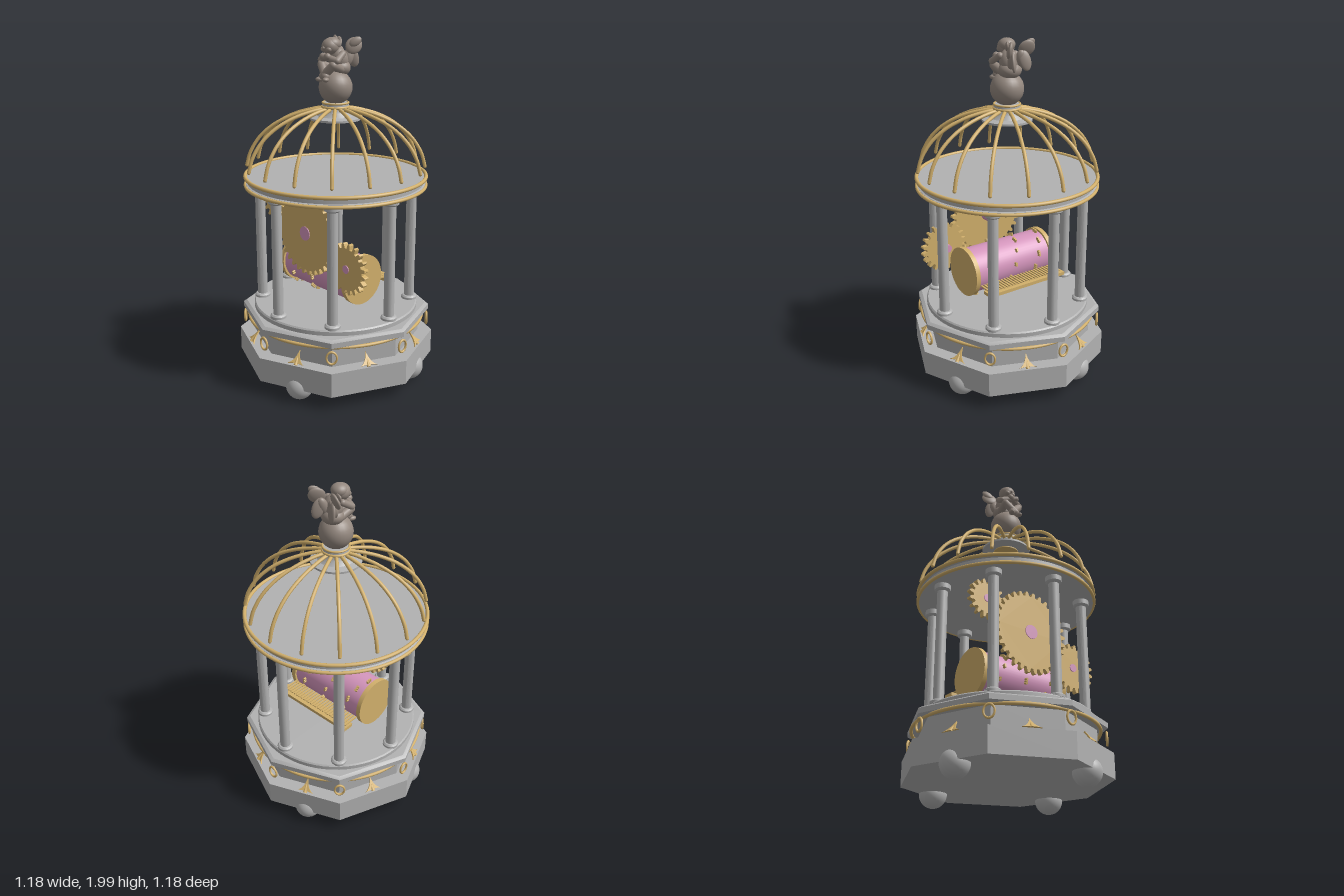
import * as THREE from 'three';
import { toCreasedNormals } from 'three/addons/utils/BufferGeometryUtils.js';

const mat = (name, color) => Object.assign(new THREE.MeshStandardMaterial({ color }), { name });
const V = (x, y, z) => new THREE.Vector3(x, y, z);

export function createModel() {
  const model = new THREE.Group();
  model.name = 'birdcageMusicBox';
  const gray = mat('paleGray', 0xb2b2b2);
  const gold = mat('gold', 0xd2b06c);
  const pink = mat('pink', 0xd596bd);
  const stone = mat('warmStone', 0x94887f);

  const add = (name, geo, material, pos = [0, 0, 0], parent = model) => {
    const m = new THREE.Mesh(geo, material);
    m.name = name;
    m.position.set(...pos);
    parent.add(m);
    return m;
  };
  // Solid of revolution with crisp edges; 8 sides gives octagons with corners on the axes
  const turned = (name, pts, material, sides = 64, parent = model) => {
    const g = new THREE.LatheGeometry(pts.map(p => new THREE.Vector2(...p)), sides);
    return add(name, toCreasedNormals(g, 0.5), material, [0, 0, 0], parent);
  };
  const hoop = (name, r, y, tube) => {
    const m = add(name, new THREE.TorusGeometry(r, tube, 10, 80), gold, [0, y, 0]);
    m.rotation.x = Math.PI / 2;
    return m;
  };
  // Group turned about the vertical axis; children sit along its +z
  const spoke = (name, angle) => {
    const g = new THREE.Group();
    g.name = name;
    g.rotation.y = angle;
    model.add(g);
    return g;
  };

  // Octagonal base tiers and round floor
  turned('basePlinth', [[0, 0.085], [0.59, 0.085], [0.59, 0.23], [0, 0.23]], gray, 8);
  turned('baseWall', [[0, 0.22], [0.505, 0.22], [0.505, 0.37], [0, 0.37]], gray, 8);
  turned('baseCornice', [[0, 0.362], [0.55, 0.362], [0.565, 0.37], [0.565, 0.4], [0.545, 0.412], [0, 0.412]], gray, 8);
  turned('floor', [[0, 0.4], [0.492, 0.4], [0.492, 0.435], [0.485, 0.443], [0, 0.443]], gray);
  hoop('baseHoop', 0.525, 0.36, 0.01);

  // Ball feet under four alternate faces
  for (let i = 0; i < 4; i++) {
    const g = spoke('foot', Math.PI / 8 + i * Math.PI / 2);
    add('footBall', new THREE.SphereGeometry(0.08, 32, 20), gray, [0, 0.083, 0.487], g);
  }

  // Ornament outline: flared triangular leaf
  const leaf = new THREE.Shape();
  leaf.moveTo(-0.052, 0);
  leaf.quadraticCurveTo(-0.012, 0.015, 0, 0.085);
  leaf.quadraticCurveTo(0.012, 0.015, 0.052, 0);
  leaf.quadraticCurveTo(0, 0.012, -0.052, 0);
  const leafGeo = new THREE.ExtrudeGeometry(leaf, { depth: 0.008, bevelEnabled: false });

  // Columns, oval rings and leaf ornaments around the base
  for (let i = 0; i < 8; i++) {
    const a = i * Math.PI / 4;
    const c = spoke('column', a);
    const shaft = turned('columnShaft', [
      [0, 0.44], [0.046, 0.44], [0.046, 0.455], [0.038, 0.463], [0.03, 0.465],
      [0.03, 1.115], [0.038, 1.118], [0.046, 1.126], [0.046, 1.155], [0, 1.155]], gray, 24, c);
    shaft.position.z = 0.446;

    const oval = add('ovalRing', new THREE.TorusGeometry(0.036, 0.007, 8, 28), gold, [0, 0.31, 0.556], c);
    oval.scale.x = 0.8;

    const o = spoke('leafOrnament', a + Math.PI / 8);
    const l = add('leaf', leafGeo, gold, [0, 0.232, 0.53], o);
    l.rotation.x = -0.7;
    const rib = add('leafRib', new THREE.ConeGeometry(0.012, 0.08, 8), gold, [0, 0.262, 0.51], o);
    rib.rotation.x = -0.7;
  }

  // Roof disc with its gold hoops
  turned('roofDisc', [[0, 1.155], [0.522, 1.155], [0.522, 1.172], [0.512, 1.176], [0.512, 1.2],
    [0.522, 1.204], [0.522, 1.212], [0, 1.212]], gray, 80);
  hoop('roofLowerHoop', 0.525, 1.162, 0.01);
  hoop('roofUpperHoop', 0.525, 1.213, 0.011);

  // Sixteen bent dome bars
  const bar = new THREE.CatmullRomCurve3([
    V(0, 1.262, 0.518), V(0, 1.34, 0.495), V(0, 1.43, 0.438), V(0, 1.505, 0.35),
    V(0, 1.558, 0.24), V(0, 1.588, 0.13), V(0, 1.598, 0.065)]);
  const barGeo = new THREE.TubeGeometry(bar, 32, 0.0105, 10);
  for (let i = 0; i < 16; i++) {
    const g = spoke('domeBar', i * Math.PI / 8);
    add('bar', barGeo, gold, [0, 0, 0], g);
    add('barEnd', new THREE.SphereGeometry(0.0105, 10, 8), gold, [0, 1.262, 0.518], g);
  }

  // Crown cap at the top of the dome
  turned('crownCap', [[0, 1.535], [0.145, 1.535], [0.145, 1.547], [0.105, 1.556], [0.085, 1.575],
    [0.076, 1.6], [0.076, 1.632], [0, 1.632]], gray, 48);
  add('crownUnderside', new THREE.CylinderGeometry(0.075, 0.075, 0.008, 40), gold, [0, 1.533, 0]);
  hoop('crownLowerHoop', 0.075, 1.607, 0.008);
  hoop('crownUpperHoop', 0.074, 1.63, 0.006);

  // Toothed gears with pink hubs
  const gear = (name, x, y, z, r, teeth, depth, hubR) => {
    const s = new THREE.Shape();
    const root = r - 0.028;
    for (let i = 0; i < teeth; i++) {
      [[0, root], [0.22, root], [0.36, r - 0.006], [0.44, r], [0.66, r], [0.74, r - 0.006], [0.88, root]].forEach(([f, q], k) => {
        const a = (i + f) / teeth * Math.PI * 2;
        s[i + k ? 'lineTo' : 'moveTo'](Math.cos(a) * q, Math.sin(a) * q);
      });
    }
    const g = new THREE.Group();
    g.name = name;
    g.position.set(x, y, z);
    model.add(g);
    add('gearWheel', new THREE.ExtrudeGeometry(s, { depth, bevelEnabled: false }), gold, [0, 0, 0], g);
    const back = 0.15 - z, front = depth + 0.004;
    const hub = add('gearHub', new THREE.CylinderGeometry(hubR, hubR, front - back, 24), pink, [0, 0, (front + back) / 2], g);
    hub.rotation.x = Math.PI / 2;
  };
  gear('largeGear', 0, 0.9, 0.213, 0.25, 32, 0.027, 0.042);
  gear('rightGear', 0.32, 0.764, 0.19, 0.15, 20, 0.03, 0.024);
  gear('leftGear', -0.29, 1.032, 0.193, 0.118, 16, 0.03, 0.024);

  // Pinned music drum lying along x
  const drum = new THREE.Group();
  drum.name = 'musicDrum';
  drum.position.set(0, 0.645, 0.047);
  model.add(drum);
  const roll = add('drumBarrel', new THREE.CylinderGeometry(0.135, 0.135, 0.52, 48), pink, [0, 0, 0], drum);
  roll.rotation.z = Math.PI / 2;
  for (const s of [-1, 1]) {
    const end = add('drumEnd', new THREE.CylinderGeometry(0.148, 0.148, 0.028, 48), gold, [s * 0.27, 0, 0], drum);
    end.rotation.z = Math.PI / 2;
  }
  const pinGeo = new THREE.CylinderGeometry(0.007, 0.007, 0.03, 8);
  for (let i = 0; i < 84; i++) {
    const a = i * 2.39996;
    const x = -0.235 + 0.0294 * ((i * 7) % 17);
    const pin = add('drumPin', pinGeo, gold, [x, Math.cos(a) * 0.138, Math.sin(a) * 0.138], drum);
    pin.rotation.x = a;
  }

  // Comb with a row of thin tines
  add('combBar', new THREE.BoxGeometry(0.54, 0.02, 0.07), gold, [0, 0.587, -0.185]);
  for (let i = 0; i < 26; i++)
    add('combTine', new THREE.BoxGeometry(0.011, 0.007, 0.1), gold, [-0.25 + i * 0.02, 0.6, -0.145]);

  // Seated winged child resting on a ball
  const statue = new THREE.Group();
  statue.name = 'statue';
  model.add(statue);
  const blob = (name, p, s, rot = [0, 0, 0]) => {
    const m = add(name, new THREE.SphereGeometry(1, 24, 16), stone, p, statue);
    m.scale.set(...s);
    m.rotation.set(...rot);
  };
  const limb = (name, r, ...pts) => {
    for (let i = 0; i + 1 < pts.length; i++) {
      const a = V(...pts[i]), d = V(...pts[i + 1]).sub(a);
      const m = add(name, new THREE.CapsuleGeometry(r, d.length(), 6, 14), stone,
        a.clone().addScaledVector(d, 0.5).toArray(), statue);
      m.quaternion.setFromUnitVectors(V(0, 1, 0), d.normalize());
    }
  };
  blob('statueBall', [0, 1.717, 0], [0.096, 0.096, 0.096]);
  blob('hips', [0, 1.825, -0.028], [0.068, 0.05, 0.062]);
  blob('torso', [0, 1.87, -0.022], [0.058, 0.072, 0.052], [0.2, 0, 0]);
  blob('head', [-0.012, 1.945, 0.028], [0.048, 0.046, 0.05]);
  blob('hair', [-0.01, 1.958, 0.016], [0.047, 0.037, 0.048]);
  blob('nose', [-0.014, 1.938, 0.077], [0.008, 0.009, 0.009]);
  for (const s of [-1, 1]) {
    blob('cheek', [-0.012 + s * 0.02, 1.93, 0.06], [0.018, 0.016, 0.016]);
    limb('leg', 0.024, [s * 0.04, 1.82, -0.005], [s * 0.048, 1.845, 0.062], [-s * 0.01, 1.785, 0.085]);
    blob('legFoot', [-s * 0.024, 1.768, 0.096], [0.018, 0.014, 0.026], [0, -s * 0.5, 0]);
    limb('arm', 0.019, [s * 0.052, 1.905, -0.005], [s * 0.066, 1.87, 0.05], [-s * 0.02, 1.893, 0.078]);
  }
  // Wings as overlapping flat feathers, one swept wide and one folded back
  for (const [s, x, z, turn] of [[-1, -0.055, -0.066, -0.35], [1, 0.03, -0.078, 0.9]]) {
    blob('wingRoot', [x * 0.75, 1.885, z], [0.03, 0.055, 0.024], [-0.3, turn, 0]);
    blob('wingUpper', [x + s * 0.018, 1.945, z - 0.016], [0.045, 0.05, 0.016], [-0.35, turn, -s * 0.6]);
    blob('wingTip', [x + s * 0.034, 1.968, z - 0.014], [0.024, 0.038, 0.012], [-0.2, turn, -s * 0.9]);
    blob('wingLower', [x, 1.88, z - 0.026], [0.034, 0.058, 0.014], [0.15, turn, s * 0.2]);
  }
  return model;
}
